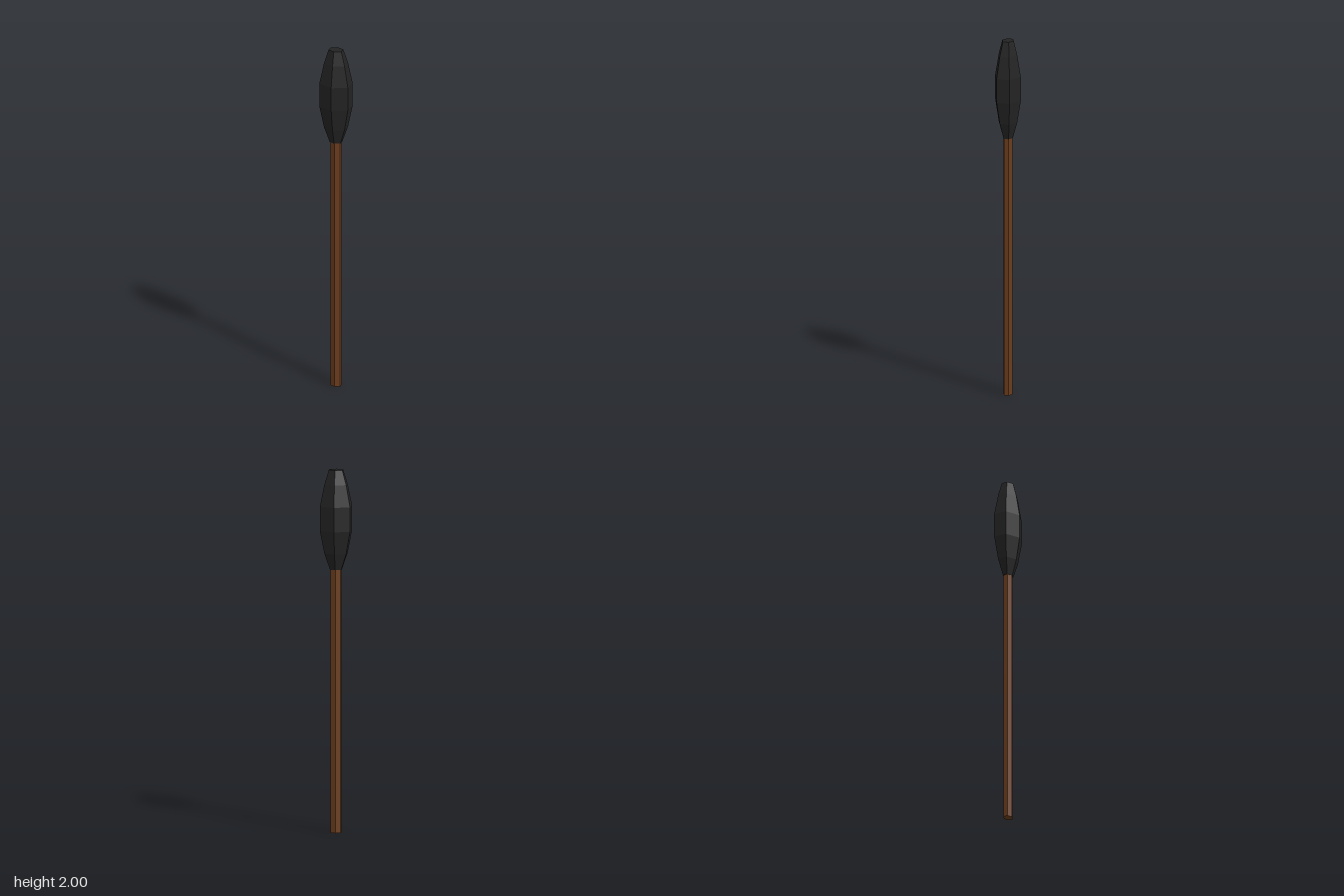
import * as THREE from 'three';

// Six-sided lathe from [half width, height] pairs: points on +-z, flats on +-x
function hexLathe(profile, depthRatio) {
  const pts = profile.map(([w, y]) => new THREE.Vector2(w / Math.cos(Math.PI / 6), y));
  const geo = new THREE.LatheGeometry(pts, 6);
  geo.scale(1, 1, depthRatio * Math.cos(Math.PI / 6));
  return geo;
}

export function createModel() {
  const model = new THREE.Group();

  const wood = new THREE.MeshStandardMaterial({ color: 0x6b3c1c, flatShading: true });
  wood.name = 'brown wood';
  const char = new THREE.MeshStandardMaterial({ color: 0x232323, flatShading: true });
  char.name = 'charred black';

  // Handle
  const shaft = new THREE.Mesh(
    hexLathe([[0, 0], [0.028, 0], [0.028, 1.46], [0, 1.46]], 0.9), wood);
  shaft.name = 'shaft';

  // Faceted bulb on top of the handle
  const head = new THREE.Mesh(
    hexLathe([
      [0, 1.45], [0.031, 1.45], [0.06, 1.54], [0.083, 1.665],
      [0.083, 1.8], [0.06, 1.92], [0.037, 2], [0, 2],
    ], 0.89), char);
  head.name = 'head';

  model.add(shaft, head);
  return model;
}
